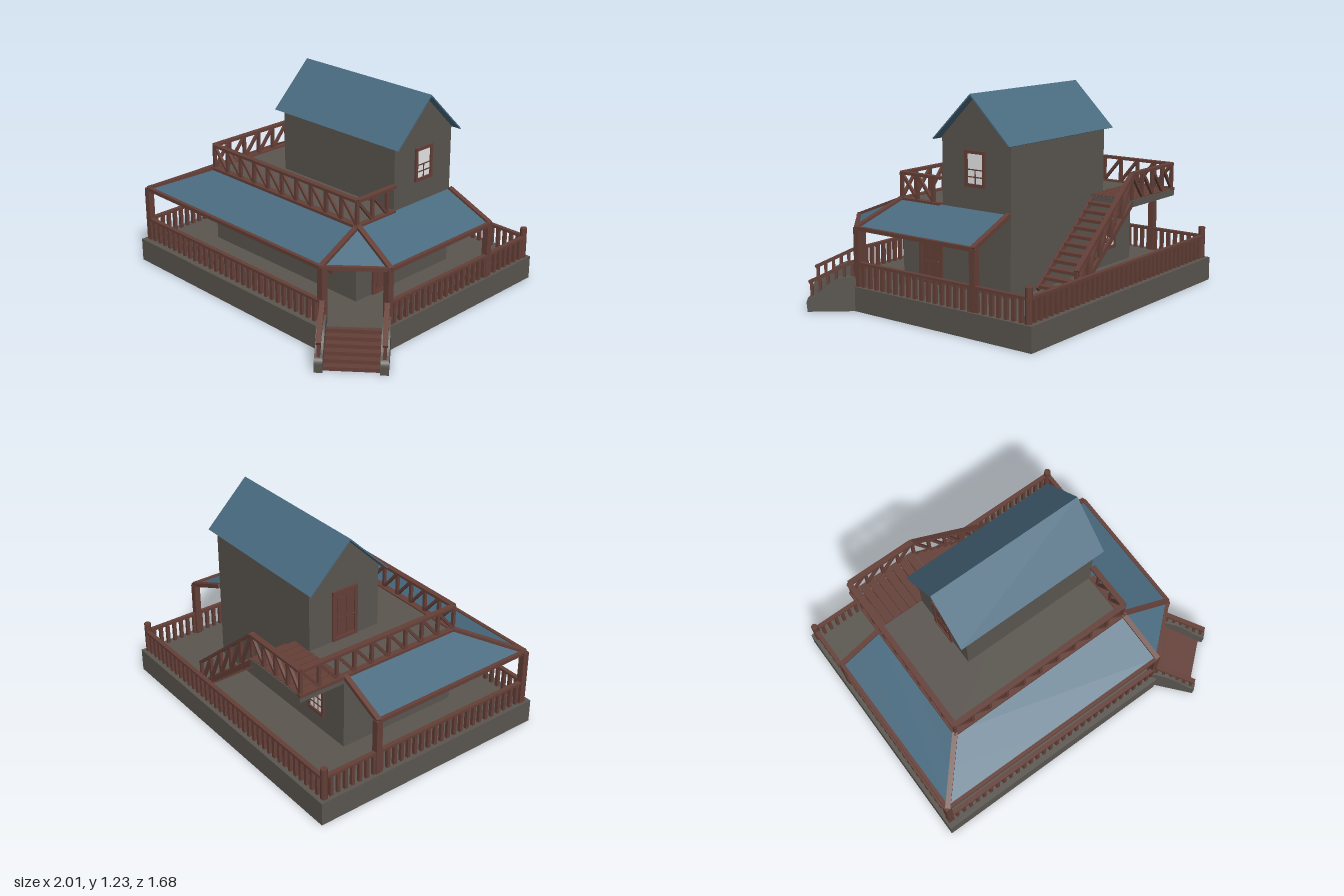
import * as THREE from 'three';

const mat = (name, color) => {
  const m = new THREE.MeshStandardMaterial({ color });
  m.name = name;
  return m;
};

export function createModel() {
  const stone = mat('grey wall', 0x5a554f);
  const wood = mat('brown wood', 0x643f37);
  const roofBlue = mat('blue roof', 0x4a6b80);
  roofBlue.side = THREE.DoubleSide;
  const glass = mat('pale glass', 0xe8e8e8);

  const model = new THREE.Group();
  const group = (name, parent = model) => {
    const g = new THREE.Group();
    g.name = name;
    parent.add(g);
    return g;
  };
  const add = (parent, name, geo, m) => {
    const mesh = new THREE.Mesh(geo, m);
    mesh.name = name;
    parent.add(mesh);
    return mesh;
  };
  // box given by its minimum and maximum corners
  const box = (parent, name, m, x0, x1, y0, y1, z0, z1) => {
    const b = add(parent, name, new THREE.BoxGeometry(x1 - x0, y1 - y0, z1 - z0), m);
    b.position.set((x0 + x1) / 2, (y0 + y1) / 2, (z0 + z1) / 2);
    return b;
  };
  // square beam between two points
  const beam = (parent, name, a, b, w, h = w) => {
    const p = new THREE.Vector3(...a), q = new THREE.Vector3(...b);
    const mesh = add(parent, name, new THREE.BoxGeometry(w, h, p.distanceTo(q)), wood);
    mesh.position.copy(p).lerp(q, 0.5);
    const aim = new THREE.Object3D();
    aim.position.copy(mesh.position);
    aim.lookAt(q);
    mesh.quaternion.copy(aim.quaternion);
    return mesh;
  };
  // flat panel through a fan of points
  const panel = (parent, name, m, ...pts) => {
    const geo = new THREE.BufferGeometry();
    geo.setAttribute('position', new THREE.Float32BufferAttribute(pts.flat(), 3));
    const index = [];
    for (let i = 1; i < pts.length - 1; i++) index.push(0, i, i + 1);
    geo.setIndex(index);
    geo.computeVertexNormals();
    return add(parent, name, geo, m);
  };
  const mix = (a, b, t) => a.map((v, i) => v + (b[i] - v) * t);
  const up = (p, h) => [p[0], p[1] + h, p[2]];
  const shape = pts => new THREE.Shape(pts.map(p => new THREE.Vector2(...p)));
  const slab = (s, depth) => new THREE.ExtrudeGeometry(s, { depth, bevelEnabled: false });

  // hollow foundation with a cut front corner: thin skirt, deck, wall footings under the deck
  const rim = [[-1, -0.66], [0.54, -0.66], [0.83, -0.4], [0.83, 0.84], [-1, 0.84]];
  add(model, 'deck', slab(shape(rim), 0.01).rotateX(-Math.PI / 2), stone).position.y = 0.13;
  const skirt = shape(rim);
  skirt.holes.push(shape([[-0.995, -0.655], [0.538, -0.655], [0.825, -0.398], [0.825, 0.835], [-0.995, 0.835]]));
  add(model, 'foundationSkirt', slab(skirt, 0.13).rotateX(-Math.PI / 2), stone);
  for (const z of [-0.457, 0.3]) box(model, 'footing', stone, -0.69, 0.5, 0.124, 0.13, z, z + 0.01);
  for (const x of [-0.69, 0.49]) box(model, 'footing', stone, x, x + 0.01, 0.124, 0.13, -0.457, 0.31);

  // lower storey and upper gabled storey
  box(model, 'lowerStorey', stone, -0.69, 0.5, 0.14, 0.6, -0.457, 0.31);
  const gable = shape([[-0.015, 0.6], [0.457, 0.6], [0.457, 0.98], [0.22, 1.215], [-0.015, 0.98]]);
  add(model, 'upperStorey', slab(gable, 0.887).rotateY(Math.PI / 2), stone).position.x = -0.387;

  // main roof: two thin slopes
  const mainRoof = shape([[-0.045, 0.97], [0.22, 1.23], [0.485, 0.97], [0.478, 0.967], [0.22, 1.219], [-0.038, 0.967]]);
  add(model, 'mainRoof', slab(mainRoof, 0.985).rotateY(Math.PI / 2), roofBlue).position.x = -0.437;

  // porch roof: inner (high) and outer (low) outlines, from back left round to back right
  const porch = group('porchRoof');
  const inner = [[-0.69, 0.6, -0.45], [-0.69, 0.6, 0.31], [0.51, 0.6, 0.31], [0.51, 0.6, 0.31], [0.51, 0.6, -0.45]];
  const outer = [[-0.972, 0.473, -0.45], [-0.965, 0.473, 0.615], [0.54, 0.473, 0.62], [0.815, 0.473, 0.375], [0.815, 0.473, -0.45]];
  for (let i = 0; i < 4; i++) {
    if (i === 2) panel(porch, 'porchPanel', roofBlue, inner[2], outer[2], outer[3]);
    else panel(porch, 'porchPanel', roofBlue, inner[i], outer[i], outer[i + 1], inner[i + 1]);
    beam(porch, 'eaveBeam', outer[i], outer[i + 1], 0.022);
  }
  outer.forEach((p, i) => {
    beam(porch, 'hipRafter', inner[i], p, 0.03, 0.024);
    const x = Math.max(-0.965, Math.min(p[0], 0.8)), z = Math.min(p[2], 0.608);
    box(porch, 'porchPost', wood, x - 0.019, x + 0.019, 0.14, 0.475, z - 0.019, z + 0.019);
  });

  // deck railing: balusters run slightly through the deck
  const deckRail = group('deckRailing');
  const balustrade = (parent, a, b, h, step, w) => {
    const n = Math.round(Math.hypot(b[0] - a[0], b[2] - a[2]) / step);
    beam(parent, 'handrail', up(a, h), up(b, h), 0.026, 0.016);
    for (let i = 0; i <= n; i++) {
      const p = mix(a, b, i / n);
      box(parent, 'baluster', wood, p[0] - w / 2, p[0] + w / 2, p[1] - 0.014, p[1] + h, p[2] - w / 2, p[2] + w / 2);
    }
  };
  const deck = [[0.805, 0.14, 0.38], [0.805, 0.14, -0.805], [-0.967, 0.14, -0.805], [-0.967, 0.14, 0.615], [0.54, 0.14, 0.62]];
  for (let i = 0; i < 4; i++) balustrade(deckRail, deck[i], deck[i + 1], 0.133, 0.048, 0.02);
  for (const x of [0.8, -0.967])
    add(deckRail, 'cornerPost', new THREE.CylinderGeometry(0.02, 0.02, 0.19, 12), wood).position.set(x, 0.235, -0.8);

  // balcony edge and braced railing
  const balcony = group('balconyRailing');
  const bracedRail = (a, b, n, flip) => {
    beam(balcony, 'topRail', up(a, 0.143), up(b, 0.143), 0.033, 0.016);
    for (let i = 0; i <= n; i++) {
      const p = mix(a, b, i / n);
      beam(balcony, 'railPost', p, up(p, 0.145), 0.018);
      if (i === n) break;
      const q = mix(a, b, (i + 1) / n);
      beam(balcony, 'railBrace', up(p, flip ? 0 : 0.14), up(q, flip ? 0.14 : 0), 0.016);
    }
  };
  const corner = [-0.688, 0.605, 0.312], rightCorner = [0.505, 0.605, 0.312];
  const backCorner = [-0.688, 0.605, -0.737], landingEnd = [-0.25, 0.605, -0.737];
  bracedRail(corner, rightCorner, 10, false);
  bracedRail(rightCorner, [0.505, 0.605, 0.078], 2, false);
  beam(balcony, 'topRail', [0.505, 0.748, 0.078], [0.505, 0.748, 0.015], 0.033, 0.016);
  bracedRail(corner, backCorner, 9, true);
  bracedRail(backCorner, landingEnd, 4, true);
  box(balcony, 'frontEdge', wood, -0.705, 0.52, 0.59, 0.608, 0.29, 0.33);
  box(balcony, 'leftEdge', wood, -0.705, -0.67, 0.59, 0.608, -0.75, 0.33);
  box(balcony, 'rightEdge', wood, 0.49, 0.522, 0.59, 0.608, 0.02, 0.33);

  // back landing and open stairs
  const backStairs = group('backStairs');
  for (let i = 0; i < 8; i++) {
    const x = -0.69 + i * 0.055;
    box(backStairs, 'landingBoard', wood, x, x + 0.05, 0.58, 0.602, -0.745, -0.46);
  }
  box(backStairs, 'landingFascia', stone, -0.7, -0.25, 0.56, 0.598, -0.75, -0.72);
  for (const x of [-0.7, -0.28]) box(backStairs, 'landingEnd', stone, x, x + 0.03, 0.56, 0.598, -0.74, -0.46);
  for (let i = 0; i < 11; i++) {
    const x = -0.25 + i * 0.048, y = 0.565 - i * 0.039;
    box(backStairs, 'tread', wood, x, x + 0.052, y - 0.018, y, -0.73, -0.48);
  }
  for (const z of [-0.735, -0.475]) beam(backStairs, 'stringer', [-0.26, 0.58, z], [0.28, 0.15, z], 0.014, 0.03);
  const railFoot = [0.29, 0.15, -0.737];
  beam(backStairs, 'stairRail', up(landingEnd, 0.143), up(railFoot, 0.143), 0.03, 0.016);
  for (let i = 0; i <= 5; i++) {
    const p = mix(landingEnd, railFoot, i / 5);
    beam(backStairs, 'stairRailPost', p, up(p, 0.145), 0.018);
    if (i < 5) beam(backStairs, 'stairRailBrace', up(p, 0.14), mix(landingEnd, railFoot, (i + 1) / 5), 0.016);
  }

  // diagonal front steps between curved cheek walls
  const steps = group('frontSteps');
  steps.position.set(0.685, 0, 0.51);
  steps.rotation.y = 0.71;
  for (let i = 0; i < 6; i++) {
    const y = 0.135 - i * 0.0225;
    box(steps, 'step', wood, -0.16, 0.16, Math.max(0, y - 0.03), y, -0.01 + i * 0.04, 0.035 + i * 0.04);
  }
  const cheek = new THREE.Shape();
  cheek.moveTo(-0.01, 0);
  cheek.lineTo(0.26, 0);
  cheek.lineTo(0.265, 0.05);
  cheek.quadraticCurveTo(0.265, 0.075, 0.24, 0.085);
  cheek.bezierCurveTo(0.17, 0.11, 0.13, 0.195, 0.04, 0.195);
  cheek.lineTo(-0.01, 0.195);
  for (const s of [-1, 1]) {
    const x = s * 0.172;
    add(steps, 'cheekWall', new THREE.ExtrudeGeometry(cheek,
      { depth: 0.045, bevelEnabled: false, curveSegments: 10 }).rotateY(-Math.PI / 2), stone).position.x = x + 0.0225;
    beam(steps, 'stepRail', [x, 0.28, 0], [x, 0.165, 0.25], 0.028, 0.016);
    for (let i = 0; i < 6; i++) {
      const z = 0.01 + i * 0.045;
      box(steps, 'stepBaluster', wood, x - 0.009, x + 0.009, 0.075, 0.275 - z * 0.46, z - 0.009, z + 0.009);
    }
  }

  // windows and doors, built facing +z then turned onto their wall
  const opening = (name, x, y, z, turn) => {
    const g = group(name);
    g.position.set(x, y, z);
    g.rotation.y = turn;
    return g;
  };
  const frame = (g, w, h, t) => {
    for (const s of [-1, 1]) {
      box(g, 'jamb', wood, s * (w / 2 - t / 2) - t / 2, s * (w / 2 - t / 2) + t / 2, -h / 2, h / 2, 0, 0.012);
      box(g, 'headOrSill', wood, -w / 2, w / 2, s * (h / 2 - t / 2) - t / 2, s * (h / 2 - t / 2) + t / 2, 0, 0.013);
    }
  };
  const windowUnit = (x, y, z, turn, cols, bars) => {
    const g = opening('window', x, y, z, turn);
    const top = bars.length > 2 ? 0.085 : -0.005;
    frame(g, 0.14, 0.2, 0.018);
    box(g, 'pane', glass, -0.055, 0.055, -0.085, 0.085, 0, 0.004);
    for (const c of cols) box(g, 'muntin', wood, c - 0.003, c + 0.003, -0.085, top, 0.002, 0.008);
    for (const b of bars) box(g, 'glazingBar', wood, -0.055, 0.055, b - 0.003, b + 0.003, 0.002, 0.008);
  };
  const grid = [-0.045, 0, 0.045], thirds = [-0.018, 0.018];
  windowUnit(-0.455, 0.35, 0.31, 0, thirds, grid);
  windowUnit(0.26, 0.35, 0.31, 0, thirds, grid);
  windowUnit(-0.45, 0.34, -0.457, Math.PI, thirds, grid);
  windowUnit(-0.69, 0.35, -0.07, -Math.PI / 2, thirds, grid);
  windowUnit(0.5, 0.822, -0.22, Math.PI / 2, [0], [-0.005, -0.045]);

  const door = (x, y, z, turn) => {
    const g = opening('door', x, y, z, turn);
    frame(g, 0.17, 0.31, 0.02);
    box(g, 'doorLeaf', wood, -0.065, 0.065, -0.15, 0.14, 0, 0.005);
    for (const s of [-1, 1]) for (const [b, t] of [[-0.12, -0.02], [0.01, 0.11]])
      box(g, 'doorPanel', wood, s * 0.029 - 0.02, s * 0.029 + 0.02, b, t, 0.004, 0.009);
    add(g, 'doorKnob', new THREE.SphereGeometry(0.006, 10, 8), wood).position.set(0.057, -0.02, 0.01);
  };
  door(0.5, 0.29, 0.1, Math.PI / 2);
  door(-0.387, 0.76, -0.22, -Math.PI / 2);

  return model;
}
